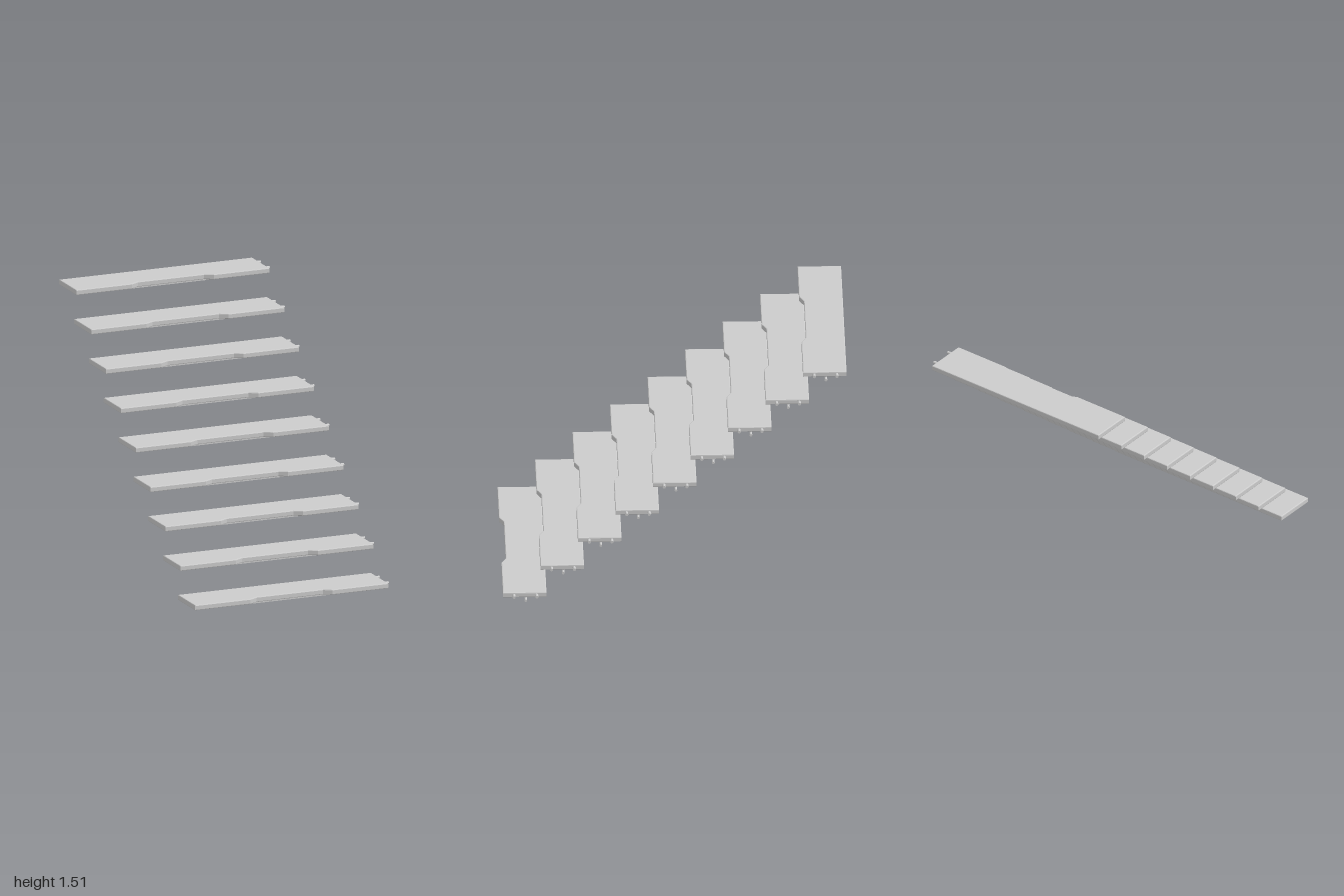
import * as THREE from 'three';

const COUNT = 9, RISE = 0.1825, RUN = 0.2183;
const LEFT = -0.626, RIGHT = 0.597, HALF = 0.127, BEVEL = 0.005;
const material = new THREE.MeshStandardMaterial({ color: 0xcccccc });

function add(group, name, geometry, x, y, z) {
  const mesh = new THREE.Mesh(geometry, material);
  mesh.name = name;
  mesh.position.set(x, y, z);
  group.add(mesh);
}

// Horizontal slab from a plan outline of [x, z] points; bottom rests at y = 0
function slab(points, height, bevel) {
  const shape = new THREE.Shape(points.map(([x, z]) => new THREE.Vector2(x, -z)));
  const geometry = new THREE.ExtrudeGeometry(shape, {
    depth: height - 2 * bevel, bevelEnabled: bevel > 0, bevelSize: bevel,
    bevelThickness: bevel, bevelOffset: -bevel, bevelSegments: 2,
  });
  return geometry.rotateX(-Math.PI / 2).translate(0, bevel, 0);
}

function createTread() {
  const tread = new THREE.Group();

  // Board with a shallow notch in its front edge
  const notch = [[0.245, HALF], [0.195, HALF - 0.027], [-0.225, HALF - 0.027], [-0.275, HALF]];
  add(tread, 'board', slab([
    [LEFT, HALF], ...notch.slice().reverse(), [RIGHT, HALF], [RIGHT, -HALF], [LEFT, -HALF],
  ], 0.032, BEVEL), 0, 0.021, 0);

  // Thin strip under the front edge
  add(tread, 'frontStrip', new THREE.BoxGeometry(0.975, 0.007, 0.032), -0.0125, 0.0185, 0.082);

  // Long rod below the board, reaching past its end
  const rod = new THREE.CylinderGeometry(0.008, 0.008, 1.105, 12).rotateZ(Math.PI / 2);
  add(tread, 'supportRod', rod, 0.0685, 0.012, -0.006);
  add(tread, 'rodWeb', new THREE.BoxGeometry(1.08, 0.012, 0.008), 0.055, 0.016, -0.006);

  // Mounting pins in the end face
  for (const z of [0.062, -0.07]) {
    const pin = new THREE.CylinderGeometry(0.009, 0.009, 0.045, 12).rotateZ(Math.PI / 2);
    add(tread, 'mountingPin', pin, 0.6025, 0.037, z);
  }
  return tread;
}

export function createModel() {
  const stair = new THREE.Group();
  stair.name = 'floatingStair';
  const first = createTread();
  for (let i = 0; i < COUNT; i++) {
    const tread = first.clone();
    tread.name = `tread${i + 1}`;
    tread.position.set(0, i * RISE - 0.004, RUN * ((COUNT - 1) / 2 - i));
    stair.add(tread);
  }
  return stair;
}
